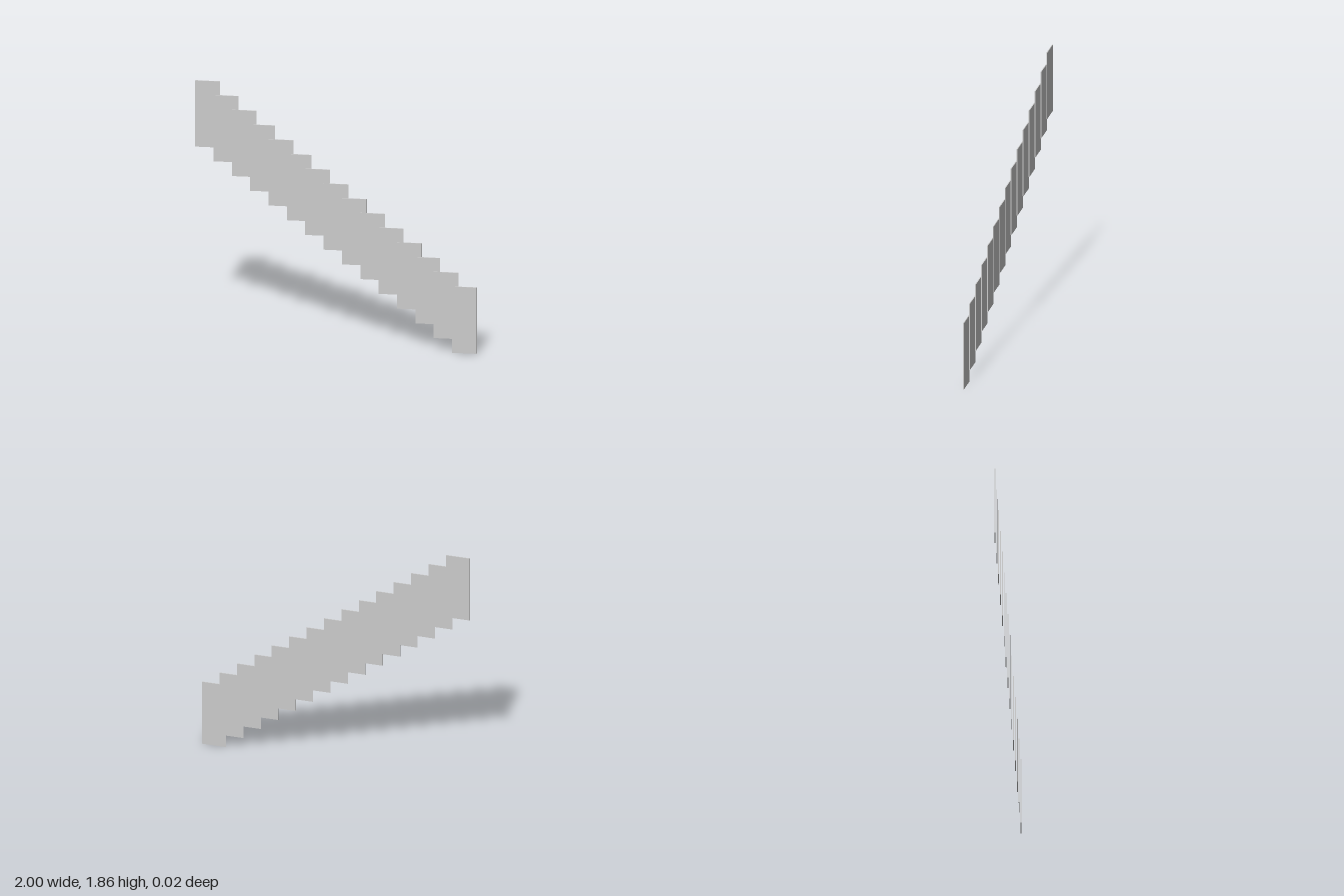
import * as THREE from 'three';

export function createModel() {
  const group = new THREE.Group();
  group.name = 'steppedPanels';
  const material = new THREE.MeshStandardMaterial({ color: 0xcccccc, flatShading: true });

  const count = 15;
  const width = 0.173, height = 0.488, thickness = 0.006;
  const totalHeight = 1.862;
  const tilt = 0.095; // each panel turns slightly so neighbours overlap like slats
  const geometry = new THREE.BoxGeometry(width, height, thickness);

  // Row of panels descending from the right side to the left
  for (let i = 0; i < count; i++) {
    const t = i / (count - 1);
    const panel = new THREE.Mesh(geometry, material);
    panel.name = `panel${i + 1}`;
    panel.position.set(
      (t - 0.5) * (2 - width),
      height / 2 + (1 - t) * (totalHeight - height),
      0
    );
    panel.rotation.y = tilt;
    group.add(panel);
  }
  return group;
}
